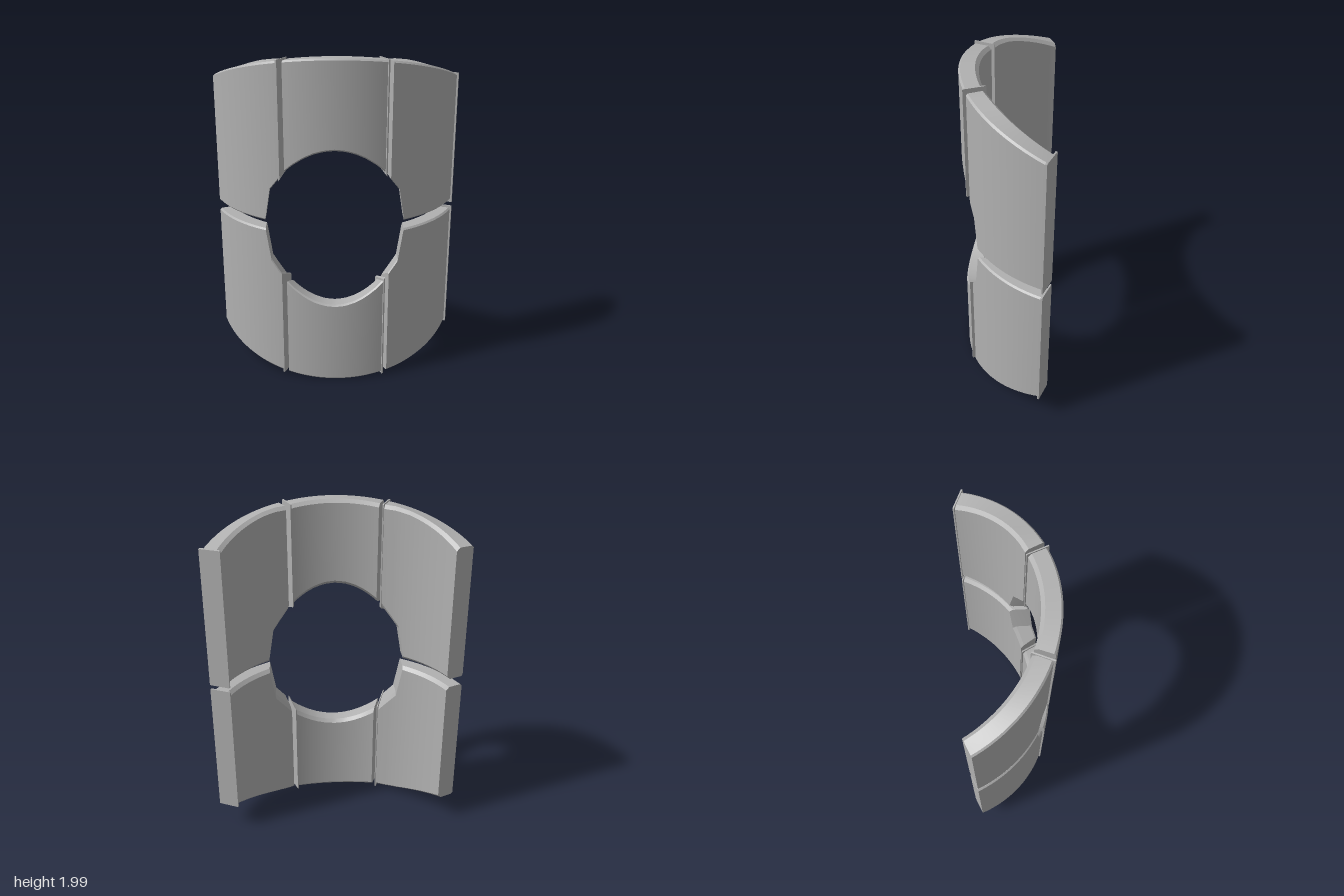
import * as THREE from 'three';
import { toCreasedNormals } from 'three/addons/utils/BufferGeometryUtils.js';

const RO = 0.805, RI = 0.695, CZ = -0.54, MID = 1.003, GAP = 0.027;
const rad = THREE.MathUtils.degToRad, lerp = THREE.MathUtils.lerp;

// Edge of the round opening: [distance from centre line, height above the middle]
const OPENING = [[0, 0.482], [0.06, 0.476], [0.12, 0.459], [0.18, 0.43], [0.24, 0.389],
  [0.29, 0.345], [0.34, 0.275], [0.38, 0.222], [0.412, GAP]];

function openingHeight(x) {
  const a = Math.abs(x + 0.008); // opening sits slightly off centre
  for (let i = 1; i < OPENING.length; i++) {
    const [x0, y0] = OPENING[i - 1], [x1, y1] = OPENING[i];
    if (a <= x1 + 1e-6) return lerp(y0, y1, Math.max(0, (a - x0) / (x1 - x0)));
  }
  return GAP;
}

// Outer rim drops away with the angle
const rimHeight = (t) => 0.997 - 0.274 * (1 - Math.cos(t));

// One radial column: outer and inner angle with their heights
function column(to, ti = to) {
  return {
    to, ti, hi: rimHeight(to),
    lo: openingHeight(RO * Math.sin(to)), li: openingHeight(RI * Math.sin(ti)),
  };
}

// Curved slab with chamfered edges, swept through the columns; flip mirrors it downwards
function slab(cols, flip, ro = RO, ri = RI, c = 0.02) {
  const pos = [], idx = [], N = 8, d = c * 0.5, w = ro - ri;
  for (const q of cols) {
    // [inward share, at the top?, chamfer inset]
    const ring = [[0, 1, d], [0, 0, d], [d / w, 0, 0], [1 - c / w, 0, 0],
      [1, 0, c], [1, 1, c], [1 - c / w, 1, 0], [d / w, 1, 0]];
    for (const [k, top, inset] of ring) {
      const t = lerp(q.to, q.ti, k), r = lerp(ro, ri, k);
      const y = top ? q.hi - inset : lerp(q.lo, q.li, k) + inset;
      pos.push(r * Math.sin(t), MID + (flip ? -y : y), CZ + r * Math.cos(t));
    }
  }
  const tri = (a, b, e) => (flip ? idx.push(a, e, b) : idx.push(a, b, e));
  for (let i = 0; i < cols.length - 1; i++) {
    for (let j = 0; j < N; j++) {
      const a = i * N + j, b = i * N + (j + 1) % N;
      tri(a, b, b + N);
      tri(a, b + N, a + N);
    }
  }
  const last = (cols.length - 1) * N;
  for (let j = 1; j < N - 1; j++) { // end caps
    tri(0, j + 1, j);
    tri(last, last + j, last + j + 1);
  }
  const g = new THREE.BufferGeometry();
  g.setAttribute('position', new THREE.Float32BufferAttribute(pos, 3));
  g.setIndex(idx);
  return toCreasedNormals(g, 0.35);
}

// Columns of a side panel, following the opening and then the plain wall
function sideColumns(s, start, end) {
  const cols = [column(s * start)];
  for (const x of [0.34, 0.36, 0.38, 0.412]) {
    const xx = x - s * 0.008;
    cols.push(column(s * Math.asin(xx / RO), s * Math.asin(xx / RI)));
  }
  const { to, ti } = cols[cols.length - 1];
  for (let i = 1; i <= 18; i++) cols.push(column(lerp(to, s * end, i / 18), lerp(ti, s * end, i / 18)));
  return s > 0 ? cols : cols.reverse();
}

// Thin plate closing the end of a panel, standing slightly proud of it
function flangeColumns(a, b) {
  return [a, b].map((deg) => {
    const q = column(rad(deg));
    q.hi += 0.008; q.lo -= 0.014; q.li -= 0.014;
    return q;
  });
}

export function createModel() {
  const group = new THREE.Group();
  group.name = 'curvedPanelSet';
  const grey = new THREE.MeshStandardMaterial({ color: 0xb0b0b0 });
  grey.name = 'grey';

  const centre = [];
  for (let i = 0; i <= 24; i++) centre.push(column(rad(lerp(-21.7, 20.7, i / 24))));

  const panels = {
    rightPanel: [sideColumns(-1, rad(24.2), rad(67)), [-24.2, -23.6]],
    centrePanel: [centre, [20.7, 21.3]],
    leftPanel: [sideColumns(1, rad(23.3), rad(66)), [66, 66.7]],
  };

  for (const flip of [false, true]) {
    const row = new THREE.Group();
    row.name = flip ? 'lowerRow' : 'upperRow';
    for (const [name, [cols, ends]] of Object.entries(panels)) {
      const panel = new THREE.Group();
      panel.name = name;
      const wall = new THREE.Mesh(slab(cols, flip), grey);
      wall.name = 'wall';
      const flange = new THREE.Mesh(slab(flangeColumns(...ends), flip, RO + 0.01, RI - 0.008, 0.004), grey);
      flange.name = 'endFlange';
      panel.add(wall, flange);
      row.add(panel);
    }
    group.add(row);
  }
  return group;
}
